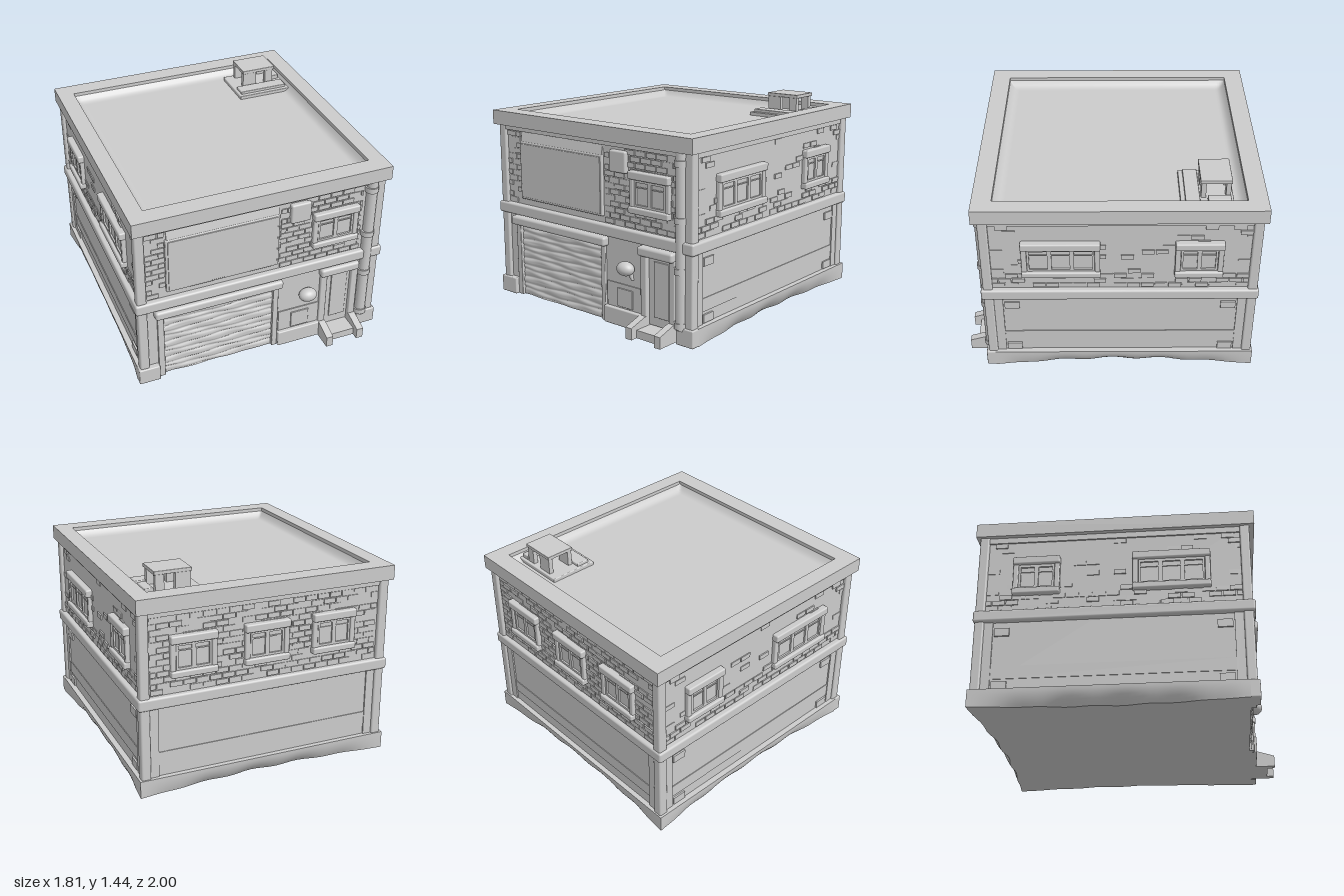
import * as THREE from 'three';
import { mergeGeometries } from 'three/addons/utils/BufferGeometryUtils.js';
import { RoundedBoxGeometry } from 'three/addons/geometries/RoundedBoxGeometry.js';

const mat = new THREE.MeshStandardMaterial({ color: 0xcccccc });

function add(parent, name, geo, x = 0, y = 0, z = 0) {
  const m = new THREE.Mesh(geo, mat);
  m.name = name;
  m.position.set(x, y, z);
  parent.add(m);
  return m;
}

// Box given by its limits, optionally with rounded edges
function box(parent, name, [x0, x1], [y0, y1], [z0, z1], r = 0) {
  const s = [x1 - x0, y1 - y0, z1 - z0];
  const geo = r ? new RoundedBoxGeometry(...s, 2, r) : new THREE.BoxGeometry(...s);
  return add(parent, name, geo, (x0 + x1) / 2, (y0 + y1) / 2, (z0 + z1) / 2);
}

// Rectangular ring lying in the xy plane, extruded along z
function ring([x0, x1], [y0, y1], [a0, a1], [b0, b1], depth) {
  const s = new THREE.Shape([[x0, y0], [x1, y0], [x1, y1], [x0, y1]].map(p => new THREE.Vector2(...p)));
  s.holes.push(new THREE.Path([[a0, b0], [a0, b1], [a1, b1], [a1, b0]].map(p => new THREE.Vector2(...p))));
  return new THREE.ExtrudeGeometry(s, { depth, bevelEnabled: false });
}

// Applies a rule to every vertex, then refreshes the normals
function warp(geo, rule) {
  const p = geo.attributes.position, v = new THREE.Vector3();
  for (let i = 0; i < p.count; i++) {
    rule(v.fromBufferAttribute(p, i));
    p.setXYZ(i, v.x, v.y, v.z);
  }
  geo.computeVertexNormals();
  return geo;
}

function randomizer(seed) {
  return () => (seed = (seed * 16807) % 2147483647) / 2147483647;
}

// Group whose local +z points out of the chosen wall
function onWall(parent, name, wall, u, y) {
  const g = new THREE.Group();
  g.name = name;
  const [x, z, turn] = {
    front: [u, 0.83, 0], back: [u, -0.95, Math.PI],
    left: [0.86, u, Math.PI / 2], right: [-0.86, u, -Math.PI / 2],
  }[wall];
  g.position.set(x, y, z);
  g.rotation.y = turn;
  parent.add(g);
  return g;
}

// Window with lintel, sill, jambs, mullions and glazing
function addWindow(parent, wall, u, w, panes) {
  const g = onWall(parent, 'window', wall, u, 0.94);
  const h = w / 2;
  box(g, 'lintel', [-h, h], [0.085, 0.14], [-0.01, 0.045], 0.01);
  box(g, 'sill', [-h, h], [-0.14, -0.095], [-0.01, 0.045], 0.01);
  for (const s of [-1, 1]) {
    const x = s * (h - 0.02);
    box(g, 'jamb', [x - 0.018, x + 0.018], [-0.1, 0.09], [-0.01, 0.03], 0.008);
  }
  box(g, 'glass', [-h + 0.03, h - 0.03], [-0.1, 0.09], [-0.01, 0.01]);
  const step = (w - 0.08) / panes;
  for (let i = 0; i < panes; i++) {
    const x = -h + 0.04 + i * step;
    add(g, 'sash', ring([x, x + step], [-0.095, 0.085], [x + 0.014, x + step - 0.014], [-0.08, 0.066], 0.014), 0, 0, 0.008);
    box(g, 'glazingBar', [x, x + step], [0.03, 0.038], [0.005, 0.017]);
  }
}

// Running-bond bricks; density controls how many stand proud of the plaster
function addBricks(parent, wall, u, y0, w, h, density, seed) {
  const rand = randomizer(seed), parts = [];
  const rows = Math.round(h / 0.04), rowH = h / rows;
  for (let r = 0; r < rows; r++) {
    for (let x = -w / 2 - (r % 2) * 0.045; x < w / 2; x += 0.09) {
      const a = Math.max(x, -w / 2), b = Math.min(x + 0.082, w / 2);
      if (b - a < 0.015 || rand() > density) continue;
      const d = 0.004 + rand() * 0.006;
      parts.push(new THREE.BoxGeometry(b - a, rowH - 0.007, d).translate((a + b) / 2, (r + 0.5) * rowH, d / 2));
    }
  }
  add(onWall(parent, 'brickwork', wall, u, y0), 'bricks', mergeGeometries(parts));
}

function addShell(g) {
  box(g, 'core', [-0.86, 0.86], [0.1, 1.26], [-0.95, 0.81]);
  box(g, 'upperFrontWall', [-0.86, 0.86], [0.6, 1.26], [0.8, 0.83]);
  const parapet = add(g, 'parapet', ring([-0.905, 0.905], [-0.89, 1], [-0.79, 0.79], [-0.76, 0.87], 0.1), 0, 1.25, 0);
  parapet.rotation.x = -Math.PI / 2;
  // Sunken roof, curving up where it meets the parapet
  const roof = warp(new THREE.PlaneGeometry(1.6, 1.65, 100, 100), v => {
    const d = Math.min(0.8 - Math.abs(v.x), 0.825 - Math.abs(v.y));
    v.z = 0.06 * Math.max(0, 1 - d / 0.07) ** 2;
  });
  add(g, 'roof', roof, 0, 1.28, -0.055).rotation.x = -Math.PI / 2;
  box(g, 'floorBand', [-0.9, 0.9], [0.605, 0.685], [-0.985, 0.87], 0.015);
  for (const s of [-1, 1]) {
    const span = (a, b) => s > 0 ? [a, b] : [-b, -a];
    box(g, 'frontPillar', span(0.82, 0.885), [0.05, 1.26], [0.79, 0.855], 0.012);
    box(g, 'backPillar', span(0.82, 0.885), [0.05, 1.26], [-0.975, -0.91], 0.012);
    box(g, 'sideCornice', span(0.84, 0.872), [1.21, 1.26], [-0.95, 0.83]);
  }
  // Footing whose lower edge is worn back between the corners
  const worn = t => Math.cos(Math.PI * t) * (0.85 + 0.15 * Math.sin(t * 32));
  const plinth = warp(new THREE.BoxGeometry(1.8, 0.12, 1.795, 40, 6, 40), v => {
    const f = ((0.06 - v.y) / 0.12) ** 2, x = v.x, z = v.z;
    v.x *= 1 - 0.08 * f * worn(z / 1.795);
    if (z < 0) v.z *= 1 - 0.08 * f * worn(x / 1.8);
  });
  add(g, 'plinth', plinth, 0, 0.06, -0.0875);
  box(g, 'backCornice', [-0.86, 0.86], [1.21, 1.26], [-0.962, -0.93]);
  box(g, 'frontCornice', [-0.86, 0.86], [1.215, 1.26], [0.81, 0.85]);
}

// Lower panels with dado rail and corner plates on the plain sides
function addLowerPanels(g) {
  for (const [wall, u, w] of [['left', -0.06, 1.7], ['right', -0.06, 1.7], ['back', 0, 1.64]]) {
    const p = onWall(g, 'lowerPanel', wall, u, 0);
    const h = w / 2;
    box(p, 'dado', [-h + 0.06, h - 0.06], [0.2, 0.29], [-0.01, 0.005]);
    for (const s of [-1, 1]) {
      const x = s * (h - 0.03);
      box(p, 'edgeStrip', [x - 0.03, x + 0.03], [0.11, 0.61], [-0.01, 0.01]);
      if (wall === 'back') continue;
      for (const y of [0.14, 0.52]) {
        const c = s * (h - 0.12);
        box(p, 'cornerPlate', [c - 0.05, c + 0.05], [y - 0.015, y + 0.04], [-0.01, 0.012]);
      }
    }
  }
}

function addGarage(g) {
  // Boarded door: a plane pushed into uneven horizontal ridges
  const door = warp(new THREE.PlaneGeometry(0.8, 0.52, 30, 88), v => {
    const row = (v.y + 0.26) / 0.047 + 0.15 * Math.sin(v.x * 9 + Math.floor(v.y * 21) * 2.1);
    v.z = 0.011 * Math.abs(Math.sin(Math.PI * row)) ** 0.6 + 0.003 * Math.sin(v.x * 23 + row * 2);
  });
  add(g, 'garageDoor', door, -0.305, 0.26, 0.815);
  box(g, 'garageLintel', [-0.77, 0.15], [0.53, 0.595], [0.8, 0.88], 0.018);
  box(g, 'garageJambLeft', [0.09, 0.13], [0, 0.54], [0.8, 0.845], 0.006);
  box(g, 'garageJambRight', [-0.75, -0.705], [0, 0.54], [0.8, 0.845], 0.006);
  box(g, 'cornerWall', [-0.86, -0.75], [0, 0.6], [0.8, 0.83]);
  box(g, 'cornerPlinth', [-0.9, -0.75], [0, 0.12], [0.8, 0.87], 0.008);
}

function addEntrance(g) {
  box(g, 'entranceWall', [0.12, 0.46], [0, 0.61], [0.8, 0.83]);
  box(g, 'entranceDado', [0.14, 0.46], [0.1, 0.29], [0.8, 0.837]);
  box(g, 'smallHatch', [0.235, 0.37], [0.13, 0.26], [0.82, 0.845], 0.004);
  box(g, 'entrancePlinth', [0.13, 0.46], [0, 0.12], [0.8, 0.865], 0.008);
  box(g, 'pipeWall', [0.73, 0.86], [0, 0.6], [0.8, 0.83]);
  box(g, 'pipePlinth', [0.76, 0.9], [0, 0.12], [0.8, 0.87], 0.008);
  box(g, 'door', [0.5, 0.69], [0.06, 0.53], [0.8, 0.822]);
  box(g, 'doorPanel', [0.545, 0.67], [0.12, 0.5], [0.8, 0.83], 0.004);
  for (const x of [0.45, 0.69]) box(g, 'doorJamb', [x, x + 0.05], [0.05, 0.54], [0.8, 0.855], 0.008);
  box(g, 'doorCanopy', [0.44, 0.735], [0.53, 0.595], [0.8, 0.88], 0.018);
  // Steps between sloping cheeks
  box(g, 'step', [0.49, 0.7], [0, 0.055], [0.8, 0.95]);
  const cheek = new THREE.Shape([[0.8, 0], [1, 0], [1, 0.08], [0.87, 0.12], [0.8, 0.12]].map(c => new THREE.Vector2(...c)));
  for (const x of [0.5, 0.74]) {
    const m = add(g, 'stepCheek', new THREE.ExtrudeGeometry(cheek, { depth: 0.05, bevelEnabled: false }), x, 0, 0);
    m.rotation.y = -Math.PI / 2;
  }
  // Wall lamp
  add(g, 'lamp', new THREE.SphereGeometry(1, 24, 16), 0.34, 0.42, 0.875).scale.set(0.066, 0.048, 0.052);
  const arm = add(g, 'lampArm', new THREE.CylinderGeometry(0.03, 0.008, 0.09, 12), 0.35, 0.375, 0.835);
  arm.rotation.z = 0.4;
}

function addFrontDetails(g) {
  box(g, 'signBoard', [-0.68, 0.115], [0.73, 1.145], [0.82, 0.85], 0.008);
  box(g, 'signPanel', [-0.665, 0.1], [0.745, 1.13], [0.84, 0.854], 0.004);
  // Sloping ledge above the board
  const ledge = new THREE.Shape([[0.82, 1.14], [0.847, 1.14], [0.832, 1.21], [0.82, 1.21]].map(c => new THREE.Vector2(...c)));
  const ledgeMesh = add(g, 'signLedge', new THREE.ExtrudeGeometry(ledge, { depth: 0.78, bevelEnabled: false }), 0.11, 0, 0);
  ledgeMesh.rotation.y = -Math.PI / 2;
  box(g, 'meterBox', [0.19, 0.335], [1.05, 1.195], [0.82, 0.865], 0.012);
  // Drainpipe with collars
  add(g, 'drainpipe', new THREE.CylinderGeometry(0.038, 0.038, 1.15, 20), 0.788, 0.675, 0.845);
  for (const y of [0.13, 0.49, 0.82, 1.18]) {
    add(g, 'pipeCollar', new THREE.CylinderGeometry(0.046, 0.046, 0.04, 20), 0.785, y, 0.845);
  }
}

function addRoofVent(g) {
  box(g, 'ventPlatform', [0.38, 0.785], [1.27, 1.305], [-0.79, -0.445], 0.006);
  box(g, 'ventKerb', [0.4, 0.76], [1.3, 1.325], [-0.57, -0.475], 0.006);
  box(g, 'ventRoof', [0.45, 0.705], [1.415, 1.44], [-0.775, -0.57], 0.004);
  for (const [x0, x1] of [[0.455, 0.56], [0.635, 0.695]]) {
    for (const z of [-0.77, -0.61]) box(g, 'ventPost', [x0, x1], [1.29, 1.42], [z, z + 0.032]);
  }
  box(g, 'ventSideBox', [0.705, 0.765], [1.29, 1.335], [-0.77, -0.62], 0.006);
}

export function createModel() {
  const g = new THREE.Group();
  g.name = 'building';
  addShell(g);
  addLowerPanels(g);
  addGarage(g);
  addEntrance(g);
  addFrontDetails(g);
  addRoofVent(g);
  addWindow(g, 'front', 0.53, 0.34, 2);
  for (const side of ['left', 'right']) {
    addWindow(g, side, 0.33, 0.52, 3);
    addWindow(g, side, -0.575, 0.32, 2);
    addBricks(g, side, -0.06, 0.69, 1.7, 0.12, 0.75, 11);
    addBricks(g, side, -0.06, 0.81, 1.7, 0.4, 0.18, 23);
  }
  for (const x of [0.52, 0.01, -0.48]) addWindow(g, 'back', x, 0.32, 2);
  addBricks(g, 'back', 0, 0.69, 1.62, 0.52, 0.85, 37);
  addBricks(g, 'front', -0.75, 0.69, 0.13, 0.52, 0.85, 41);
  addBricks(g, 'front', 0.43, 0.69, 0.6, 0.52, 0.85, 53);
  return g;
}
